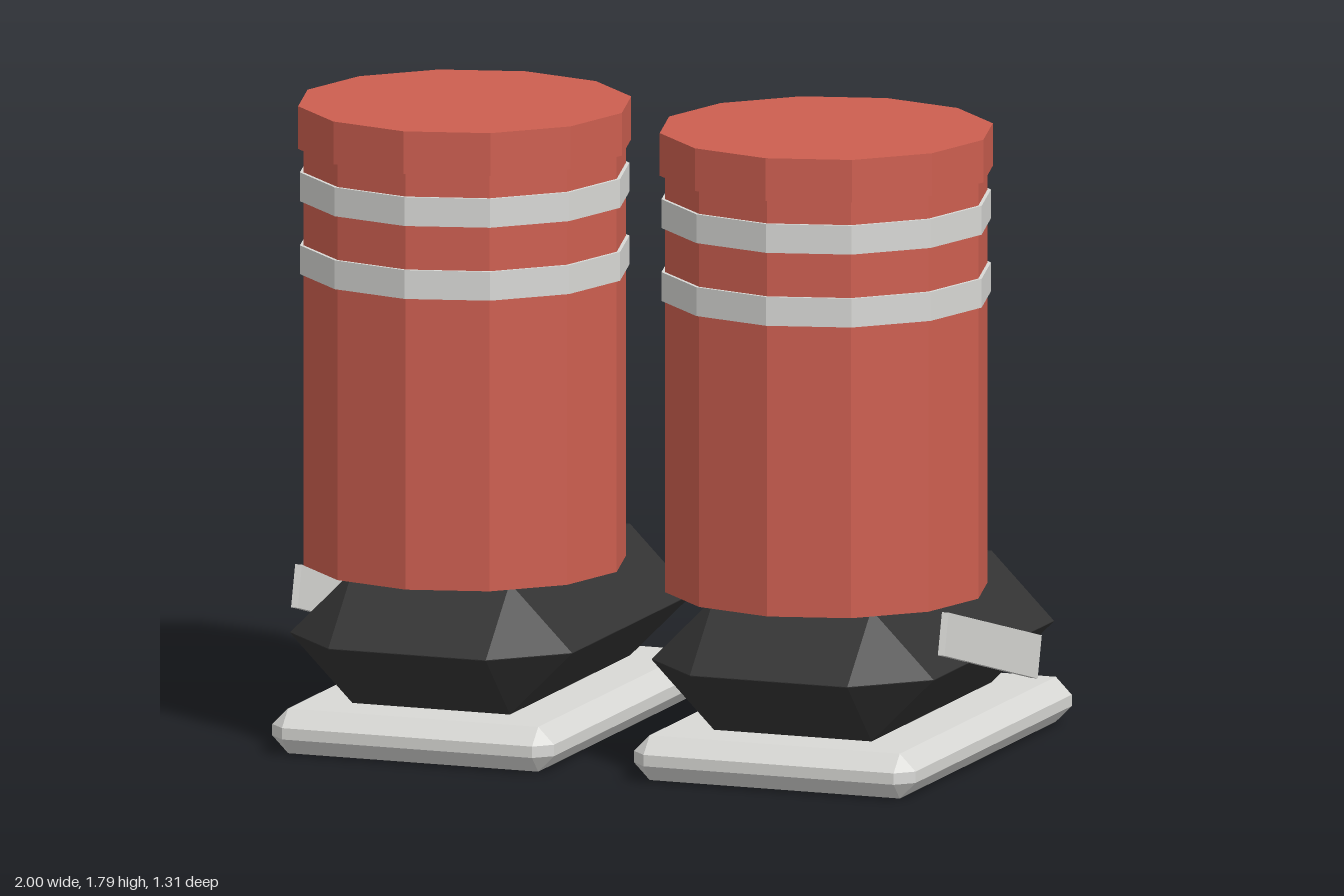
import * as THREE from 'three';
import { ConvexGeometry } from 'three/addons/geometries/ConvexGeometry.js';

const flat = (name, color) => {
  const m = new THREE.MeshStandardMaterial({ color, flatShading: true });
  m.name = name;
  return m;
};

// Box with every edge cut by one flat bevel
function chamferBox(w, h, d, b) {
  const x = w / 2, y = h / 2, z = d / 2, points = [];
  for (const sx of [-1, 1]) for (const sy of [-1, 1]) for (const sz of [-1, 1]) {
    points.push(
      new THREE.Vector3(sx * x, sy * (y - b), sz * (z - b)),
      new THREE.Vector3(sx * (x - b), sy * y, sz * (z - b)),
      new THREE.Vector3(sx * (x - b), sy * (y - b), sz * z));
  }
  return new ConvexGeometry(points);
}

export function createModel() {
  const red = flat('red fabric', 0xcd5f50);
  const grey = flat('light grey', 0xd8d8d5);
  const black = flat('black leather', 0x333333);
  const model = new THREE.Group();
  model.name = 'pairOfShoes';

  function add(parent, name, geometry, material, x, y, z) {
    const mesh = new THREE.Mesh(geometry, material);
    mesh.name = name;
    mesh.position.set(x, y, z);
    parent.add(mesh);
    return mesh;
  }

  // Twelve-sided ring or leg section between two heights
  const section = (parent, name, material, radius, y0, y1) =>
    add(parent, name, new THREE.CylinderGeometry(radius, radius, y1 - y0, 12),
      material, 0, (y0 + y1) / 2, 0.19);

  for (const side of [-1, 1]) {
    const shoe = new THREE.Group();
    shoe.name = side > 0 ? 'leftShoe' : 'rightShoe';
    shoe.position.x = side * 0.535;
    model.add(shoe);

    // Sole and bevelled upper
    add(shoe, 'sole', chamferBox(0.834, 0.126, 1.285, 0.047), grey, 0, 0.063, -0.0125);
    add(shoe, 'upper', chamferBox(0.834, 0.37, 1.285, 0.184), black, 0, 0.311, -0.0125);

    // Sock with two stripes and a thicker cuff
    section(shoe, 'sock', red, 0.45, 0.496, 1.667);
    section(shoe, 'lowerStripe', grey, 0.46, 1.315, 1.396);
    section(shoe, 'upperStripe', grey, 0.46, 1.52, 1.601);
    section(shoe, 'cuff', red, 0.465, 1.667, 1.787);

    // Slanted strip on the outer side
    const strip = add(shoe, 'sideStrip', new THREE.BoxGeometry(0.02, 0.12, 0.736),
      grey, side * 0.422, 0.334, 0.03);
    strip.rotation.x = -0.265;
  }
  return model;
}
